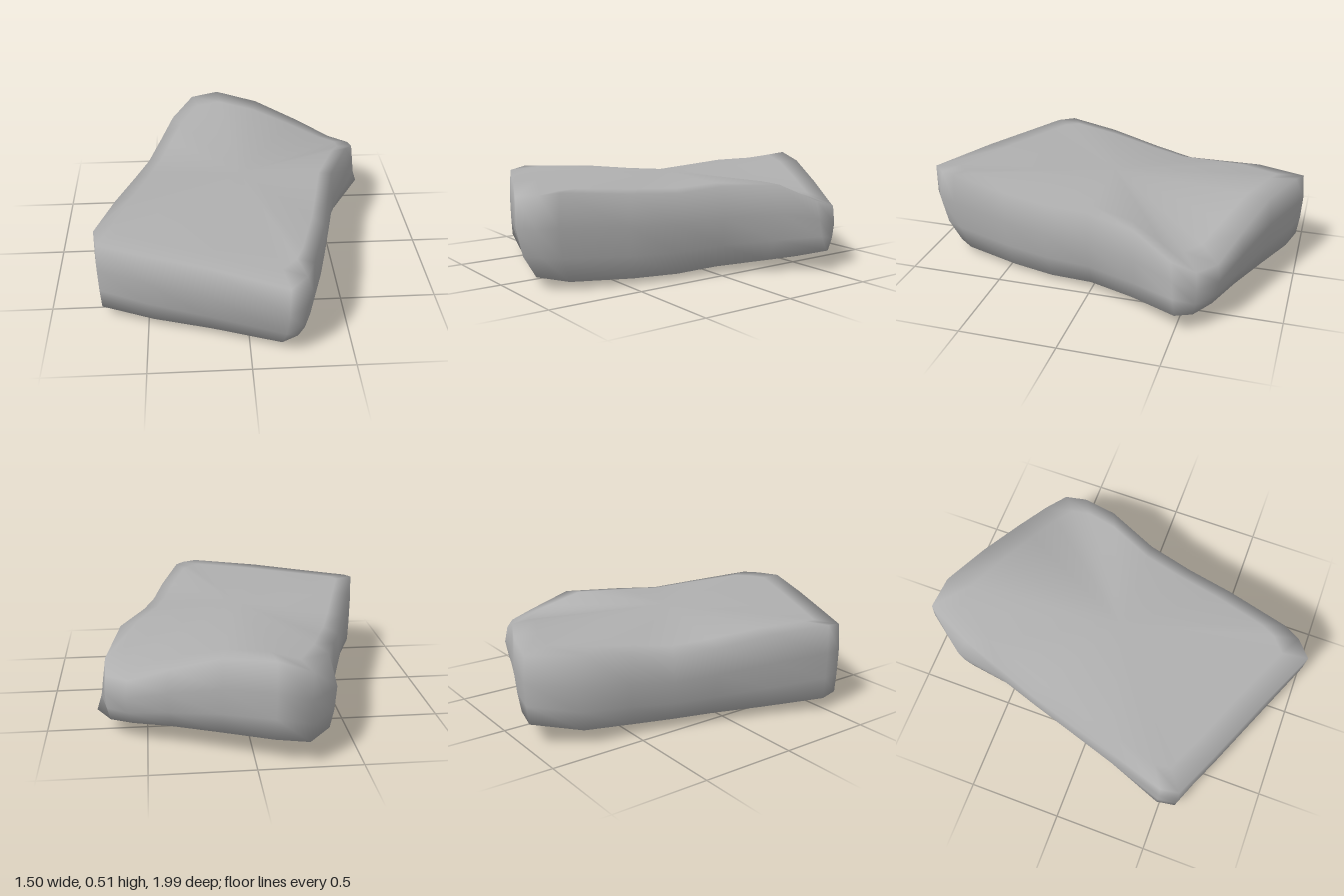
import * as THREE from 'three';

// Rim of the slab, clockwise seen from above:
// x, z, lower edge y, upper edge y, lower edge scale, upper edge scale
const RIM = [
  [-0.25, -1.0, 0.12, 0.47, 0.98, 0.99],
  [-0.09, -0.97, 0.12, 0.515, 0.97, 0.99],
  [0.15, -0.87, 0.115, 0.495, 0.96, 0.98],
  [0.4, -0.77, 0.11, 0.41, 0.95, 0.98],
  [0.6, -0.69, 0.1, 0.33, 0.95, 0.98],
  [0.7, -0.6, 0.09, 0.33, 0.97, 0.99],
  [0.71, -0.48, 0.11, 0.37, 1.05, 0.98],
  [0.64, -0.28, 0.06, 0.465, 0.88, 0.97],
  [0.52, 0, 0.04, 0.465, 0.87, 0.96],
  [0.46, 0.25, 0.03, 0.445, 0.92, 0.97],
  [0.4, 0.5, 0.03, 0.46, 0.92, 0.98],
  [0.3, 0.83, 0.04, 0.485, 0.92, 0.99],
  [0.26, 0.93, 0.055, 0.475, 0.9, 0.98],
  [0.17, 0.99, 0.055, 0.465, 0.89, 1.0],
  [-0.2, 0.83, 0.05, 0.47, 0.91, 0.99],
  [-0.5, 0.7, 0.05, 0.46, 0.95, 0.99],
  [-0.74, 0.59, 0.075, 0.455, 0.99, 0.99],
  [-0.755, 0.49, 0.065, 0.47, 0.99, 0.995],
  [-0.67, 0.2, 0.05, 0.455, 0.93, 0.99],
  [-0.58, -0.1, 0.05, 0.415, 0.91, 0.99],
  [-0.51, -0.32, 0.05, 0.395, 0.92, 0.99],
  [-0.44, -0.53, 0.055, 0.425, 0.94, 0.99],
  [-0.4, -0.8, 0.08, 0.455, 0.95, 0.92],
];

// Horizontal section at each level, from the underside to the top face
const LEVELS = [
  ([x, z, lo, , k]) => [x * k * 0.82, 0.015 + (lo - 0.03) * 0.65, z * k * 0.82],
  ([x, z, lo, , k]) => [x * k, lo, z * k],
  ([x, z, lo, hi, k]) => [x * (k + 2) / 3, lo + (hi - lo) * 0.28, z * (k + 2) / 3],
  ([x, z, lo, hi]) => [x, lo + (hi - lo) * 0.62, z],
  ([x, z, , hi, , t]) => [x * t, hi, z * t],
  ([x, z, , hi, , t]) => [x * t * 0.86, hi * 0.7 + 0.149, z * t * 0.86],
];

function slabGeometry() {
  const n = RIM.length;
  const positions = LEVELS.flatMap((level) => RIM.flatMap((p) => level(p)));
  const bottom = n * LEVELS.length;
  const top = bottom + 1;
  positions.push(0, 0, 0, 0, 0.488, 0);

  const index = [];
  for (let i = 0; i < n; i++) {
    const j = (i + 1) % n;
    for (let r = 0; r < LEVELS.length - 1; r++) {
      const a = r * n + i, b = r * n + j;
      index.push(a, a + n, b + n, a, b + n, b);
    }
    // Caps
    const last = (LEVELS.length - 1) * n;
    index.push(bottom, i, j, top, last + j, last + i);
  }
  const geometry = new THREE.BufferGeometry();
  geometry.setAttribute('position', new THREE.Float32BufferAttribute(positions, 3));
  geometry.setIndex(index);
  geometry.computeVertexNormals();
  return geometry;
}

export function createModel() {
  const group = new THREE.Group();
  group.name = 'rock';
  const stone = new THREE.MeshStandardMaterial({ color: 0xb0b0b0 });
  stone.name = 'grey stone';
  const slab = new THREE.Mesh(slabGeometry(), stone);
  slab.name = 'stoneSlab';
  group.add(slab);
  return group;
}
